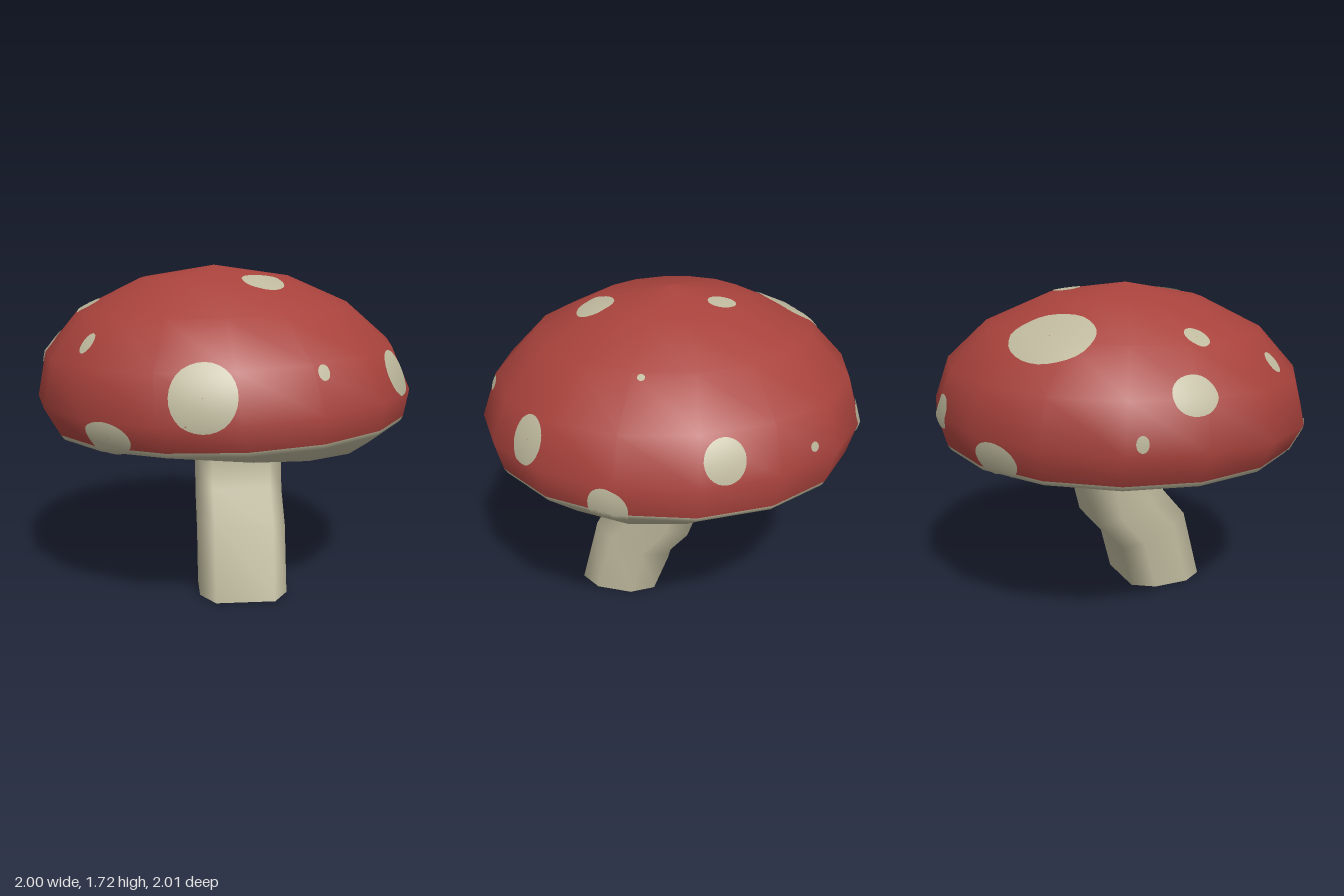
import * as THREE from 'three';

const red = new THREE.MeshStandardMaterial({ color: 0xa8423c });
red.name = 'capRed';
const cream = new THREE.MeshStandardMaterial({ color: 0xbeb99d, side: THREE.DoubleSide });
cream.name = 'creamFlesh';

// Joins closed rings of points into one smooth surface.
function loft(rings) {
  const n = rings[0].length;
  const index = [];
  for (let i = 0; i < rings.length - 1; i++) {
    for (let j = 0; j < n; j++) {
      const a = i * n + j, b = i * n + (j + 1) % n;
      index.push(a, b, a + n, b, b + n, a + n);
    }
  }
  const geometry = new THREE.BufferGeometry().setFromPoints(rings.flat());
  geometry.setIndex(index);
  geometry.computeVertexNormals();
  return geometry;
}

// Cap: 16-sided rings, slightly tilted; red above the rim, cream below it.
function makeCap() {
  const sides = 16;
  // centre x, centre z, radius, height, slope along x, slope along z
  const profile = [
    [-0.05, 0.01, 0.001, 1.72, 0, 0],
    [-0.05, 0.01, 0.395, 1.658, 0.006, -0.01],
    [-0.05, 0, 0.722, 1.506, 0.017, -0.014],
    [-0.025, 0, 0.928, 1.297, 0.027, -0.02],
    [0, 0, 1, 1.07, 0.04, -0.02],
    [0.027, 0, 0.948, 0.92, 0.037, 0],
    [0.03, 0, 0.932, 0.895, 0.037, 0],
    [0.08, 0, 0.72, 0.835, -0.035, -0.02],
    [0.06, 0, 0.45, 0.85, 0, 0],
    [0.06, 0, 0.001, 0.86, 0, 0],
  ];
  const rings = profile.map(([cx, cz, r, y, sx, sz]) =>
    Array.from({ length: sides }, (_, j) => {
      const a = (j / sides) * Math.PI * 2;
      const c = Math.cos(a), s = Math.sin(a);
      return new THREE.Vector3(cx + r * c, y + sx * c + sz * s, cz + r * s);
    }));
  const geometry = loft(rings);
  const redCount = 5 * sides * 6;
  geometry.addGroup(0, redCount, 0);
  geometry.addGroup(redCount, geometry.index.count - redCount, 1);
  const cap = new THREE.Mesh(geometry, [red, cream]);
  cap.name = 'cap';
  return cap;
}

// Stem: rounded-square section following a bent path, open at the foot.
function makeStem() {
  const section = [[0.232, 0.46], [0.155, 1], [-0.155, 1], [-0.232, 0.46],
    [-0.232, -0.46], [-0.155, -1], [0.155, -1], [0.232, -0.46]];
  // front z, front y, back z, back y (top to foot)
  const path = [
    [0.2, 0.86, -0.24, 0.86],
    [0.205, 0.7, -0.23, 0.71],
    [0.235, 0.55, -0.155, 0.395],
    [0.37, 0.39, -0.02, 0.235],
    [0.47, 0, 0.04, 0],
  ];
  const rings = path.map(([fz, fy, bz, by]) => section.map(([x, s]) => {
    const t = (s + 1) / 2;
    return new THREE.Vector3(0.078 + x, by + (fy - by) * t, bz + (fz - bz) * t);
  }));
  const stem = new THREE.Mesh(loft(rings), cream);
  stem.name = 'stem';
  return stem;
}

// Spot: a thin oval draped over the cap around a given point.
function makeSpot(cap, [x, y, z, width, height]) {
  const core = new THREE.Vector3(0, 1, 0);
  const caster = new THREE.Raycaster();
  const drape = (p) => {
    const dir = p.clone().sub(core).normalize();
    caster.set(core.clone().addScaledVector(dir, 3), dir.clone().negate());
    return caster.intersectObject(cap)[0];
  };
  const centre = drape(new THREE.Vector3(x, y, z));
  const n = centre.normal;
  const u = new THREE.Vector3(0, 1, 0).cross(n).normalize();
  const v = n.clone().cross(u);
  const steps = 6, sides = 28;
  const rings = [], normals = [];
  for (let i = steps; i >= 0; i--) {
    const k = Math.max(i / steps, 0.01);
    const ring = [];
    for (let j = 0; j < sides; j++) {
      const a = (j / sides) * Math.PI * 2;
      const hit = drape(centre.point.clone()
        .addScaledVector(u, width * k * Math.cos(a))
        .addScaledVector(v, height * k * Math.sin(a)));
      ring.push(hit.point.clone().addScaledVector(hit.normal, 0.006));
      normals.push(...hit.normal.toArray());
    }
    rings.push(ring);
  }
  const geometry = loft(rings);
  geometry.setAttribute('normal', new THREE.Float32BufferAttribute(normals, 3));
  const spot = new THREE.Mesh(geometry, cream);
  spot.name = 'spot';
  return spot;
}

export function createModel() {
  const model = new THREE.Group();
  model.name = 'mushroom';
  const cap = makeCap();
  model.add(cap, makeStem());

  // x, y, z, half width, half height
  const spots = [
    [-0.17, 1.165, 0.94, 0.155, 0.17],
    [0.38, 1.255, 0.84, 0.035, 0.04],
    [0.82, 1.195, 0.47, 0.105, 0.125],
    [-0.61, 0.95, 0.76, 0.125, 0.09],
    [0.975, 0.98, 0.035, 0.1, 0.12],
    [0.8, 1.21, -0.455, 0.1, 0.11],
    [0.49, 1.17, -0.81, 0.026, 0.024],
    [0.675, 1.5, -0.045, 0.018, 0.018],
    [0.165, 1.635, 0.35, 0.112, 0.103],
    [0.06, 1.67, -0.27, 0.068, 0.07],
    [-0.45, 1.52, -0.55, 0.225, 0.18],
    [-0.71, 1.51, 0.07, 0.06, 0.068],
    [-0.92, 1.29, -0.045, 0.11, 0.1],
    [-0.68, 1.355, 0.5, 0.045, 0.06],
    [-0.03, 1.115, -0.98, 0.07, 0.09],
    [-0.95, 1.1, -0.31, 0.03, 0.04],
    [-0.47, 0.96, -0.85, 0.12, 0.1],
  ];
  const group = new THREE.Group();
  group.name = 'spots';
  for (const s of spots) group.add(makeSpot(cap, s));
  model.add(group);
  return model;
}
